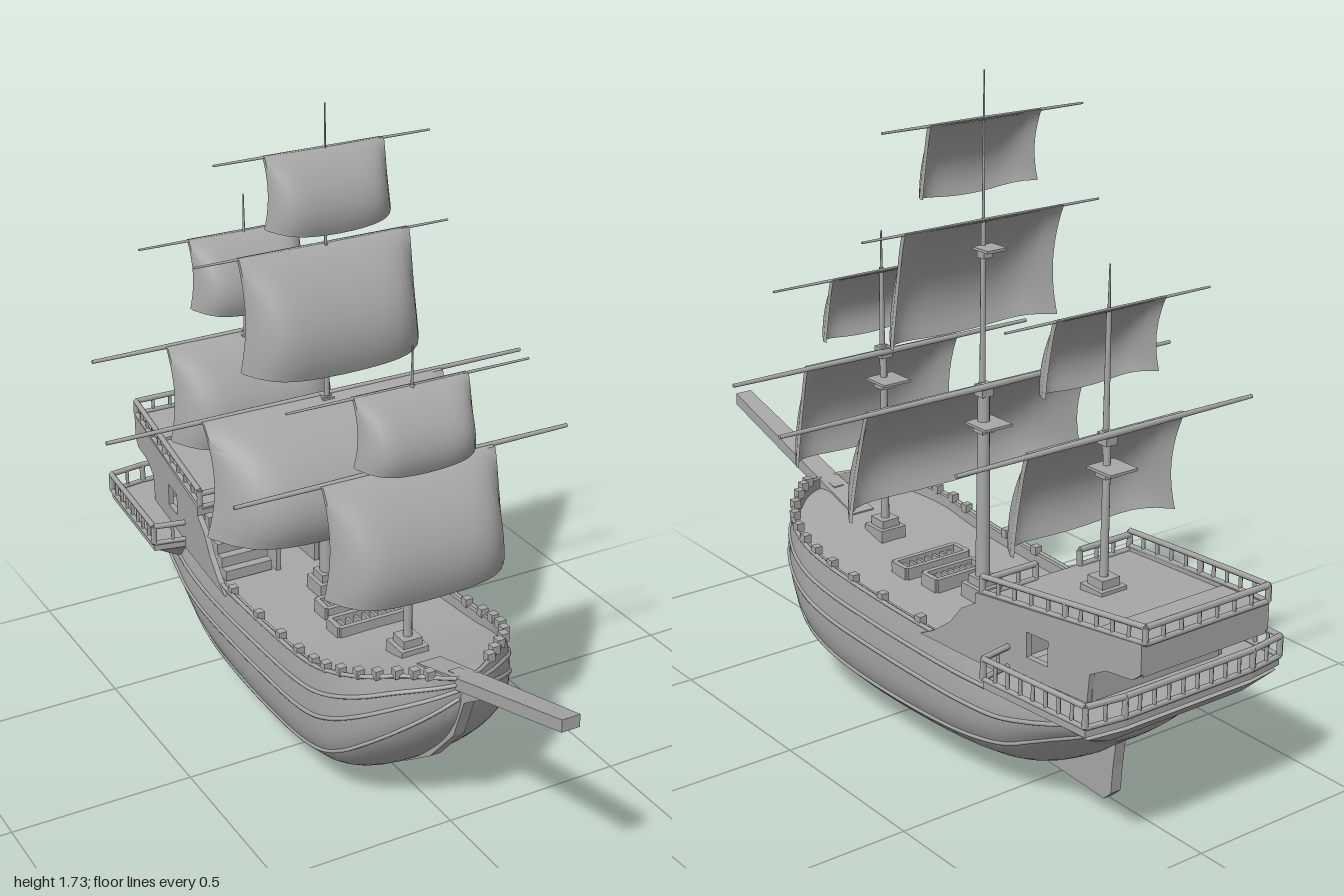
import * as THREE from 'three';
import { toCreasedNormals } from 'three/addons/utils/BufferGeometryUtils.js';
import { ConvexGeometry } from 'three/addons/geometries/ConvexGeometry.js';

const V = (x, y, z) => new THREE.Vector3(x, y, z);

export function createModel() {
  const ship = new THREE.Group();
  ship.name = 'sailingShip';
  const grey = new THREE.MeshStandardMaterial({ color: 0xa8a8a8 });
  grey.name = 'plainGrey';

  const add = (name, geo, x = 0, y = 0, z = 0) => {
    const m = new THREE.Mesh(geo, grey);
    m.name = name;
    m.position.set(x, y, z);
    ship.add(m);
    return m;
  };
  const box = (name, w, h, d, x, y, z) => add(name, new THREE.BoxGeometry(w, h, d), x, y, z);
  // Straight bar between two points
  const bar = (name, a, b, r0, r1 = r0, sides = 8) => {
    const d = b.clone().sub(a);
    const m = add(name, new THREE.CylinderGeometry(r1, r0, d.length(), sides));
    m.position.copy(a).addScaledVector(d, 0.5);
    m.quaternion.setFromUnitVectors(V(0, 1, 0), d.normalize());
    return m;
  };
  // Skin over closed rings of equal length
  const loft = (rings, crease) => {
    const n = rings[0].length, index = [];
    for (let i = 0; i < rings.length - 1; i++) for (let j = 0; j < n; j++) {
      const k = (j + 1) % n, a = i * n + j, b = i * n + k;
      index.push(a, b, a + n, b, b + n, a + n);
    }
    const g = new THREE.BufferGeometry().setFromPoints(rings.flat());
    g.setIndex(index);
    return toCreasedNormals(g, crease);
  };
  // Move vertices by a rule
  const warp = (g, rule) => {
    const p = g.attributes.position, v = V(0, 0, 0);
    for (let i = 0; i < p.count; i++) {
      rule(v.fromBufferAttribute(p, i));
      p.setXYZ(i, v.x, v.y, v.z);
    }
    g.computeVertexNormals();
    return g;
  };
  const shapeOf = pts => new THREE.Shape(pts.map(p => new THREE.Vector2(...p)));
  // Side outline (z, y) given a thickness along x
  const sidePlate = (shape, t) => new THREE.ExtrudeGeometry(shape, { depth: t, bevelEnabled: false })
    .translate(0, 0, -t / 2).rotateY(-Math.PI / 2);
  // Mirrored plan outline (x, z) given a height, rising aft by slope
  const planPlate = (half, y, t, slope) => {
    const pts = [...half, ...half.map(([x, z]) => [-x, z]).reverse()].map(([x, z]) => [x, -z]);
    const g = new THREE.ExtrudeGeometry(shapeOf(pts), { depth: t, bevelEnabled: false }).rotateX(-Math.PI / 2);
    return warp(g, v => { v.y += y + slope * (-0.45 - v.z); });
  };

  // Hull stations: z, keel y, rail y, widest half width, rail half width, fullness
  const stations = [
    [-0.85, 0.30, 0.38, 0.175, 0.19, 2], [-0.80, 0.235, 0.375, 0.2, 0.205, 1.9], [-0.72, 0.175, 0.37, 0.225, 0.215, 1.7],
    [-0.62, 0.10, 0.37, 0.24, 0.225, 1.7], [-0.5, 0.045, 0.37, 0.255, 0.235, 2], [-0.3, 0.035, 0.375, 0.268, 0.255, 2.5],
    [0, 0.03, 0.385, 0.27, 0.26, 2.7], [0.2, 0.045, 0.4, 0.27, 0.26, 2.6], [0.32, 0.09, 0.425, 0.26, 0.25, 2.5],
    [0.42, 0.175, 0.45, 0.22, 0.205, 2.4], [0.49, 0.25, 0.47, 0.15, 0.135, 2.2], [0.535, 0.32, 0.47, 0.085, 0.075, 2.1],
    [0.56, 0.38, 0.465, 0.022, 0.022, 2]];
  const curve = k => new THREE.CatmullRomCurve3(stations.map(s => V(s[k], s[k + 1], s[k + 2])), false, 'catmullrom', 0.5);
  const lineCurve = curve(0), widthCurve = curve(3);
  const hullRings = [];
  for (let i = 0; i <= 48; i++) {
    const { x: z, y: keel, z: top } = lineCurve.getPoint(i / 48);
    const { x: w, y: wt, z: p } = widthCurve.getPoint(i / 48);
    const mid = keel + 0.6 * (top - keel), half = [];
    for (let k = 0; k <= 10; k++) {
      const a = k * Math.PI / 20;
      half.push(V(k ? w * Math.sin(a) ** (2 / p) : 0, keel + (mid - keel) * (1 - Math.max(0, Math.cos(a)) ** (2 / p)), z));
    }
    for (let k = 1; k <= 4; k++) half.push(V(w + (wt - w) * (k / 4) ** 2, mid + (top - mid) * k / 4, z));
    half.push(V(wt - 0.015, top, z), V(wt - 0.015, top - 0.03, z), V(0, top - 0.026, z));
    hullRings.push([...half, ...half.slice(1, -1).reverse().map(v => V(-v.x, v.y, v.z))]);
  }
  const closed = r => r.map(() => V(0, (r[0].y + r[14].y) / 2, r[0].z));
  add('hull', loft([closed(hullRings[0]), ...hullRings, closed(hullRings[48])], 0.6));

  // Wales running along both sides of the hull
  const ringSize = hullRings[0].length;
  for (const j of [7, 10, 12, 14]) for (const k of [j, ringSize - j]) {
    const path = new THREE.CatmullRomCurve3(hullRings.filter((r, i) => i % 3 === 0).map(r => r[k]));
    add('wale', new THREE.TubeGeometry(path, 60, 0.006, 6));
  }
  // Short timber heads on the rail
  for (let i = 19; i <= 44; i += 2) for (const k of [14, ringSize - 14]) {
    const v = hullRings[i][k];
    box('timberHead', 0.022, 0.024, 0.022, v.x * 0.97, v.y + 0.008, v.z);
  }

  // Keel, stem, beak and rudder in one plate
  add('keelAndRudder', sidePlate(shapeOf([[0.575, 0.4], [0.53, 0.28], [0.42, 0.155], [0.3, 0.07], [0.17, 0.03], [-0.07, 0.022],
    [-0.55, 0.006], [-0.67, 0], [-0.695, 0.025], [-0.7, 0.1], [-0.71, 0.18], [-0.64, 0.15], [-0.58, 0.09], [-0.4, 0.06],
    [0.15, 0.06], [0.35, 0.16], [0.48, 0.3], [0.5, 0.455], [0.6, 0.475], [0.655, 0.455], [0.61, 0.425]]), 0.032));

  // Bowsprit
  const sprit = new THREE.BoxGeometry(0.05, 0.034, 0.62);
  warp(sprit, v => { v.x *= v.z < 0 ? 1.35 : 1; v.z += 0.69; v.y += 0.58 + 0.29 * (v.z - 1); });
  add('bowsprit', sprit);

  // Sterncastle side walls with window openings
  const castleWidth = z => 0.24 + 0.094 * (z + 0.45);
  for (const s of [1, -1]) {
    const wall = shapeOf([[-0.25, 0.36], [-0.3, 0.385], [-0.36, 0.43], [-0.4, 0.48], [-0.45, 0.51], [-0.45, 0.537], [-0.985, 0.59],
      [-0.985, 0.515], [-0.96, 0.495], [-0.88, 0.488], [-0.83, 0.46], [-0.82, 0.35]]);
    wall.holes.push(new THREE.Path([[-0.625, 0.43], [-0.695, 0.43], [-0.695, 0.495], [-0.625, 0.495]].map(p => new THREE.Vector2(...p))));
    add('castleWall', warp(sidePlate(wall, 0.016), v => { v.x += s * castleWidth(v.z); }));
  }
  box('cabinFront', 0.46, 0.17, 0.014, 0, 0.425, -0.475);
  box('cabinBack', 0.4, 0.16, 0.014, 0, 0.43, -0.82);
  add('poopDeck', planPlate([[0.24, -0.45], [0.19, -0.985]], 0.51, 0.016, 0.1));
  add('sternOverhang', planPlate([[0.205, -0.83], [0.19, -0.985]], 0.455, 0.08, 0.1));

  // Balustrade along a path of deck points
  const balustrade = (pts, h, gap) => pts.slice(1).forEach((b, i) => {
    const a = pts[i], n = Math.max(1, Math.round(a.distanceTo(b) / gap)), up = V(0, h, 0);
    bar('handrail', a.clone().add(up), b.clone().add(up), 0.008, 0.008, 6);
    bar('footrail', a, b, 0.007, 0.007, 6);
    for (let k = 0; k <= n; k++) {
      const p = a.clone().lerp(b, k / n);
      bar('baluster', p, p.clone().add(up), k % n ? 0.005 : 0.008, k % n ? 0.005 : 0.008, 6);
    }
  });
  const poopRail = [V(0.235, 0.54, -0.46), V(0.212, 0.568, -0.74), V(0.19, 0.592, -0.988)];
  const mirrored = pts => [...pts, ...pts.map(p => V(-p.x, p.y, p.z)).reverse()];
  balustrade(mirrored(poopRail), 0.04, 0.055);
  for (const s of [1, -1]) balustrade([V(s * 0.235, 0.53, -0.46), V(s * 0.07, 0.53, -0.46)], 0.04, 0.055);

  // Stern gallery with flared underside
  const galleryPlan = [[0.22, -0.56], [0.325, -0.58], [0.305, -0.925], [0.2, -0.94]];
  add('galleryFloor', planPlate(galleryPlan, 0.355, 0.02, 0.03));
  const flare = [...galleryPlan.map(([x, z]) => V(x * 0.97, 0.36, z)),
    V(0.235, 0.31, -0.6), V(0.2, 0.29, -0.84), V(0.21, 0.32, -0.9)];
  add('galleryUnderside', new ConvexGeometry(mirrored(flare)));
  balustrade(mirrored(galleryPlan.map(([x, z]) => V(x, 0.38 + 0.03 * (-0.45 - z), z))), 0.052, 0.045);

  // Stairs to the poop and companion beams
  for (const s of [1, -1]) {
    for (let i = 0; i < 5; i++) box('stair', 0.14, 0.03 * (5 - i), 0.026, s * 0.148, 0.35 + 0.015 * (5 - i), -0.455 + i * 0.026);
    box('companionBeam', 0.014, 0.075, 0.14, s * 0.06, 0.38, -0.4);
  }
  box('companionLid', 0.12, 0.012, 0.06, 0, 0.41, -0.44);

  // Deck hatches
  for (const [z, w] of [[0.065, 0.2], [-0.04, 0.16]]) {
    for (const s of [1, -1]) {
      box('hatchCoaming', w, 0.04, 0.014, 0, 0.372, z + s * 0.03);
      box('hatchCoaming', 0.014, 0.04, 0.06, s * w / 2, 0.372, z);
    }
    for (let i = -3; i <= 3; i++) box('hatchGrate', 0.008, 0.02, 0.06, i * w / 8, 0.372, z);
  }

  // Billowing sail with a flat middle and curled edges
  const sail = (name, w, top, bottom, z0, depth, edge = 0.3) => {
    const rows = [0, ...Array.from({ length: 15 }, (_, i) => i / 14), 1], nu = 20;
    const rings = rows.map((v, i) => {
      const t = i === 0 || i === rows.length - 1 ? 0 : 0.014;
      const f = Math.sin(v * 2.1) ** 0.8, ring = [];
      for (const back of [0, 1]) for (let k = 0; k <= nu; k++) {
        const u = (1 - 2 * k / nu) * (back ? -1 : 1);
        const x = u * w * (0.96 + 0.05 * v - 0.04 * Math.sin(v * Math.PI));
        const z = z0 + depth * f * (edge + (1 - edge) * (1 - Math.abs(u) ** 6)) - back * t;
        ring.push(V(x, top + (bottom - top) * v + 0.02 * v * u * u, z));
      }
      return ring;
    });
    add(name, loft(rings, 0.9));
  };
  const yard = (name, half, y, z, r) => {
    bar(name, V(0, y, z), V(half, y, z), r, r * 0.6);
    bar(name, V(0, y, z), V(-half, y, z), r, r * 0.6);
  };

  // Masts: z, foot y, lower head y, topmast head y, truck y, radius, platform heights, sails [half width, top, bottom, depth, yard half length]
  const rigs = [
    ['fore', 0.275, 0.37, 0.93, 1.14, 1.24, 0.012, [0.835], [[0.255, 0.915, 0.607, 0.14, 0.475], [0.167, 1.135, 0.94, 0.1, 0.34]]],
    ['main', -0.16, 0.35, 0.94, 1.36, 1.725, 0.02, [0.835, 1.29],
      [[0.37, 0.935, 0.615, 0.2, 0.615], [0.255, 1.36, 1.045, 0.13, 0.365], [0.175, 1.612, 1.41, 0.085, 0.305]]],
    ['mizzen', -0.63, 0.36, 0.95, 1.24, 1.35, 0.012, [0.86], [[0.25, 0.945, 0.66, 0.14, 0.455], [0.172, 1.245, 1.035, 0.1, 0.31]]]];
  for (const [name, z, foot, head, mid, truck, r, tops, sails] of rigs) {
    bar(name + 'LowerMast', V(0, foot, z), V(0, head, z), r, r * 0.75, 12);
    bar(name + 'Topmast', V(0, head - 0.06, z + 0.006), V(0, mid, z + 0.006), 0.008, 0.006);
    bar(name + 'Pole', V(0, mid - 0.02, z + 0.006), V(0, truck, z + 0.006), 0.004, 0.002);
    const step = name === 'mizzen' ? 0.535 : foot + 0.02;
    box(name + 'MastStep', 0.08, 0.045, 0.08, 0, step, z);
    box(name + 'MastCollar', 0.055, 0.03, 0.055, 0, step + 0.03, z);
    box(name + 'MastCap', 0.034, 0.03, 0.034, 0, head - 0.02, z);
    tops.forEach((y, i) => {
      const s = i ? 0.06 : 0.085;
      box(name + 'Platform', s, 0.007, s, 0, y, z - 0.02);
      box(name + 'PlatformBlock', s * 0.45, 0.025, s * 0.45, 0, y - 0.014, z);
    });
    sails.forEach(([w, top, bottom, depth, half], i) => {
      sail(name + 'Sail', w, top, bottom, z + 0.006, depth);
      yard(name + 'Yard', half, top - 0.002, z - (i ? 0 : 0.014), i ? 0.005 : 0.009);
    });
  }
  return ship;
}
